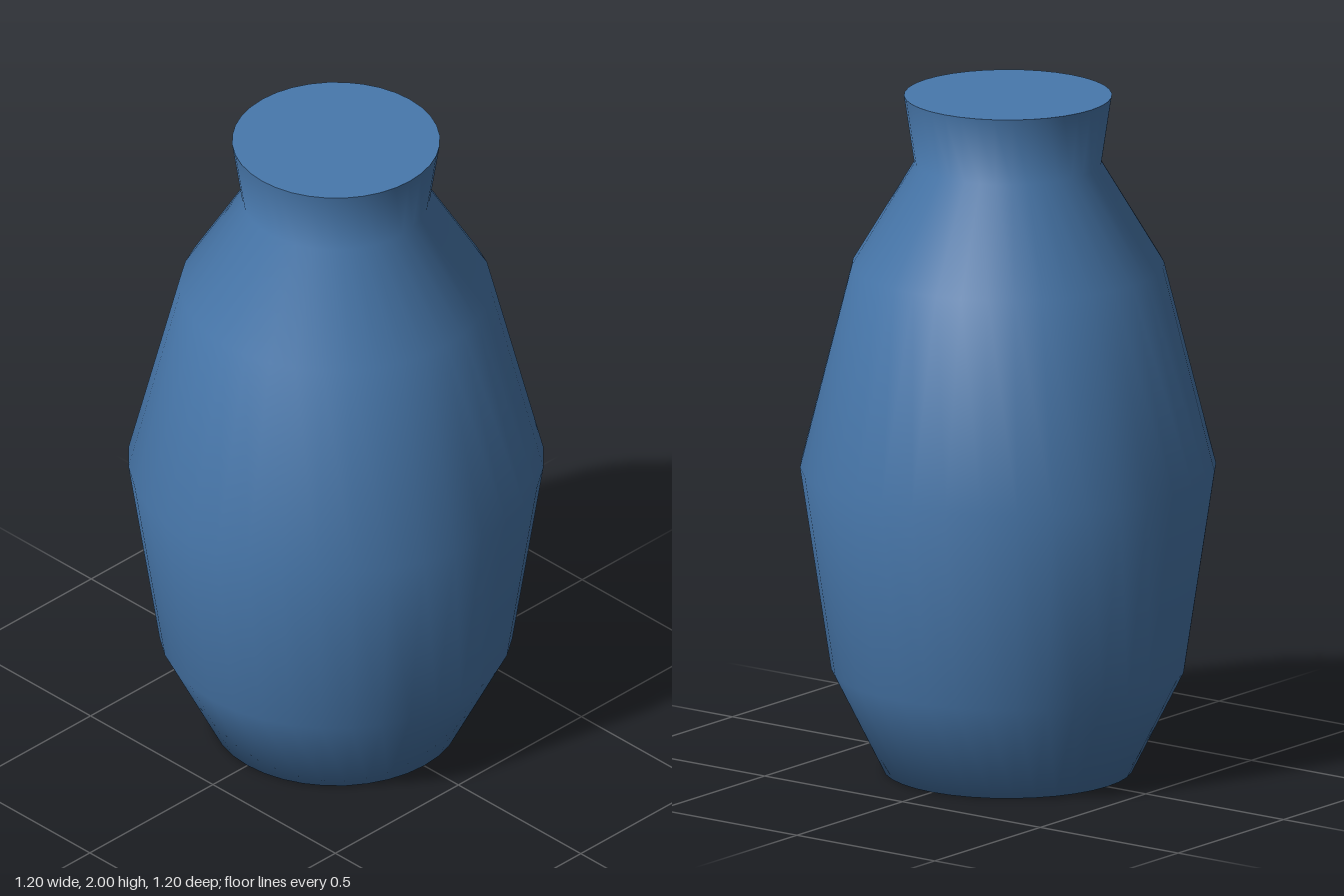
import * as THREE from 'three';

export function createModel() {
  const group = new THREE.Group();
  group.name = 'vase';
  const glaze = new THREE.MeshStandardMaterial({ color: 0x4878ac });
  glaze.name = 'blue glaze';
  const segments = 36;

  // Base, belly, shoulder and flared neck as one smooth turned profile
  const profile = [
    [0, 0], [0.36, 0], [0.51, 0.3], [0.6, 0.9], [0.45, 1.5], [0.27, 1.8], [0.3, 2],
  ].map(([r, y]) => new THREE.Vector2(r, y));
  const body = new THREE.Mesh(new THREE.LatheGeometry(profile, segments), glaze);
  body.name = 'body';
  group.add(body);

  // Flat disc closing the neck
  const top = new THREE.Mesh(new THREE.CircleGeometry(0.3, segments), glaze);
  top.name = 'topCap';
  top.rotation.x = -Math.PI / 2;
  top.position.y = 2;
  group.add(top);

  return group;
}
